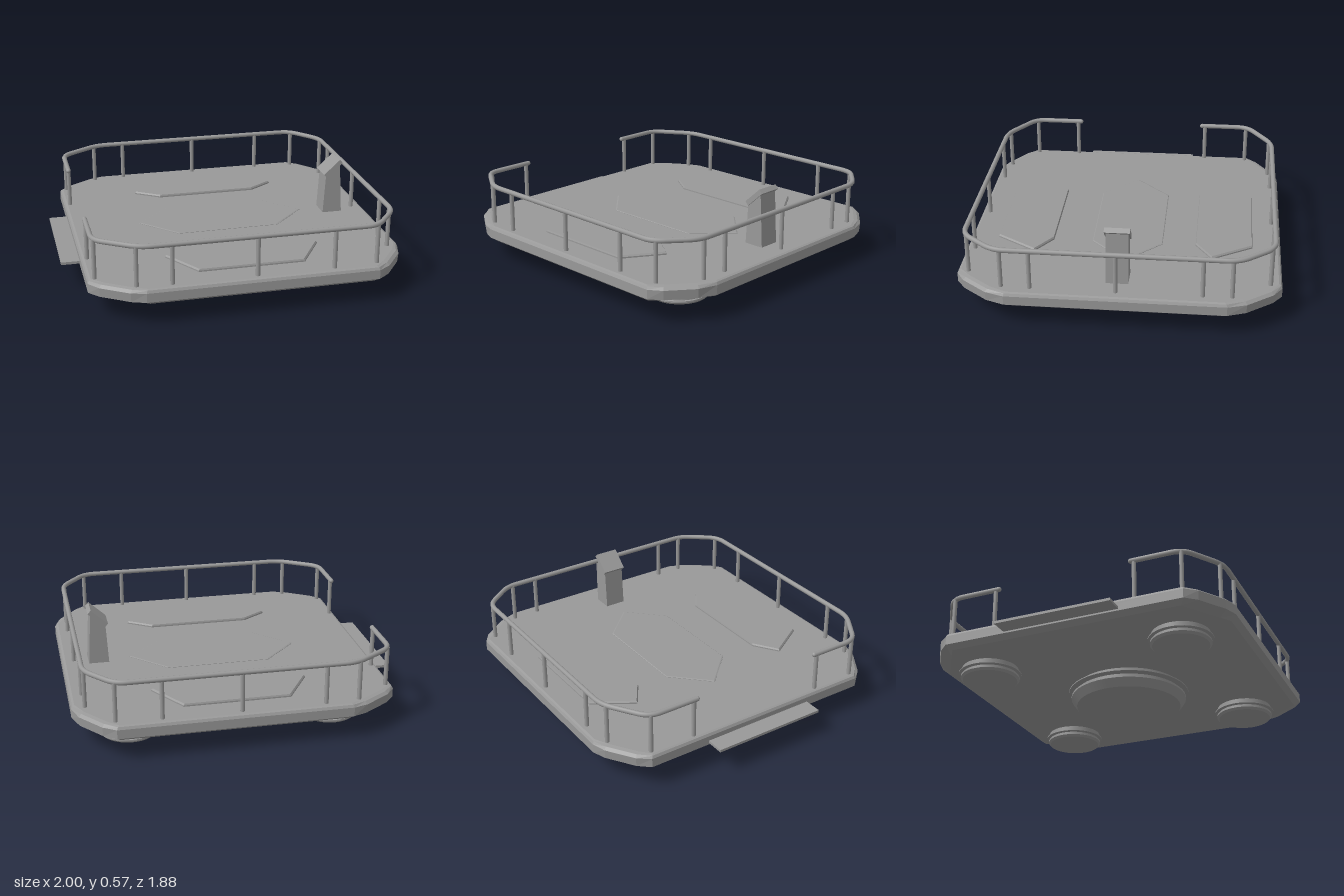
import * as THREE from 'three';

const grey = new THREE.MeshStandardMaterial({ color: 0x999999 });
grey.name = 'grey metal';

function add(parent, name, geometry, x = 0, y = 0, z = 0) {
  const mesh = new THREE.Mesh(geometry, grey);
  mesh.name = name;
  mesh.position.set(x, y, z);
  parent.add(mesh);
  return mesh;
}

// Flat-faced solid through convex rings of [x, y, z] points, bottom to top
function loft(rings) {
  const pos = [];
  const tri = (...points) => points.forEach((p) => pos.push(...p));
  const n = rings[0].length;
  for (let r = 0; r < rings.length - 1; r++) {
    const a = rings[r], b = rings[r + 1];
    for (let i = 0; i < n; i++) {
      const j = (i + 1) % n;
      tri(a[i], a[j], b[j]);
      tri(a[i], b[j], b[i]);
    }
  }
  const low = rings[0], top = rings[rings.length - 1];
  for (let i = 1; i < n - 1; i++) {
    tri(low[0], low[i + 1], low[i]);
    tri(top[0], top[i], top[i + 1]);
  }
  const g = new THREE.BufferGeometry();
  g.setAttribute('position', new THREE.Float32BufferAttribute(pos, 3));
  g.computeVertexNormals();
  return g;
}

// Front half of the platform outline; the back half is its mirror
const halfOutline = [
  [-0.89, 0.74], [-0.835, 0.81], [-0.675, 0.915], [-0.59, 0.94],
  [0.77, 0.94], [0.845, 0.89], [0.96, 0.74], [0.995, 0.63],
];
const mirrored = (half) => [...half, ...half.map(([x, z]) => [x, -z]).reverse()];

function hullRing(y, inset, cornerInset) {
  const half = halfOutline.map(([x, z], i) => {
    const s = 1 - (inset + ([1, 2, 5, 6].includes(i) ? cornerInset : 0)) / 0.94;
    return [0.053 + (x - 0.053) * s, z * s];
  });
  return mirrored(half).map(([x, z]) => [x, y, z]);
}

// Raised deck panel with a narrow bevel
function panel(points, height) {
  const cx = 0.055;
  const cz = points.reduce((sum, p) => sum + p[1], 0) / points.length;
  const ring = (y, s) => points.map(([x, z]) => [cx + (x - cx) * s, y, cz + (z - cz) * s]);
  return loft([ring(0.21, 1), ring(0.219 + height * 0.5, 1), ring(0.219 + height, 0.98)]);
}

// Polyline with its corners rounded
function roundedPath(points, radius) {
  const path = new THREE.CurvePath();
  let last = points[0];
  for (let i = 1; i < points.length - 1; i++) {
    const p = points[i];
    const toward = (q) => p.clone().add(q.clone().sub(p).setLength(radius));
    const a = toward(points[i - 1]), b = toward(points[i + 1]);
    path.add(new THREE.LineCurve3(last, a));
    path.add(new THREE.QuadraticBezierCurve3(a, p, b));
    last = b;
  }
  path.add(new THREE.LineCurve3(last, points[points.length - 1]));
  return path;
}

// Turned pad under the hull; flat facets between profile rings keep its edges crisp
function pad(parent, name, profile, x, z) {
  const group = new THREE.Group();
  group.name = name;
  group.position.set(x, 0, z);
  parent.add(group);
  for (let i = 0; i < profile.length - 1; i++) {
    const pair = [profile[i], profile[i + 1]].map(([r, y]) => new THREE.Vector2(r, y));
    add(group, `${name}Ring`, new THREE.LatheGeometry(pair, 40));
  }
}

export function createModel() {
  const model = new THREE.Group();
  model.name = 'hoverPlatform';

  // Platform body with bevelled edges and cut corners
  add(model, 'hull', loft([
    hullRing(0.12, 0.035, 0.02), hullRing(0.145, 0, 0.004),
    hullRing(0.2, 0, 0), hullRing(0.215, 0.008, 0.006), hullRing(0.22, 0.02, 0.012),
  ]));

  // Boarding step on the open side
  add(model, 'boardingStep', new THREE.BoxGeometry(0.16, 0.016, 0.715), -0.92, 0.163, 0);

  // Deck panels
  add(model, 'centrePanel', panel([
    [-0.47, -0.015], [-0.26, 0.2], [0.37, 0.195], [0.58, -0.015], [0.37, -0.23], [-0.26, -0.23],
  ], 0.006));
  const sidePanel = [[-0.41, 0.53], [-0.26, 0.77], [0.37, 0.77], [0.52, 0.53], [0.37, 0.43], [-0.26, 0.43]];
  add(model, 'frontPanel', panel(sidePanel, 0.018));
  add(model, 'backPanel', panel(sidePanel.map(([x, z]) => [x, -z]).reverse(), 0.018));

  // Hand rail, open on one side
  const railHalf = [[-0.857, 0.42], [-0.857, 0.73], [-0.61, 0.89], [0.764, 0.89], [0.925, 0.69]];
  const railPoints = mirrored(railHalf).map(([x, z]) => new THREE.Vector3(x, 0.46, z));
  add(model, 'handRail', new THREE.TubeGeometry(roundedPath(railPoints, 0.07), 320, 0.015, 10));

  // Rail ends and posts
  const postGeometry = new THREE.CylinderGeometry(0.013, 0.013, 0.25, 10);
  const endGeometry = new THREE.SphereGeometry(0.015, 10, 8);
  const posts = [
    [-0.855, 0.44], [-0.848, 0.72], [-0.635, 0.873], [-0.435, 0.888],
    [0.055, 0.888], [0.51, 0.888], [0.77, 0.872], [0.918, 0.655], [0.922, 0.49],
  ];
  for (const side of [1, -1]) {
    add(model, 'railEnd', endGeometry, -0.857, 0.46, 0.42 * side);
    for (const [x, z] of posts) add(model, 'railPost', postGeometry, x, 0.335, z * side);
  }
  add(model, 'railPost', postGeometry, 0.924, 0.335, 0);

  // Control console: tapered stand and tilted screen
  const stand = new THREE.Shape([[0.71, 0.21], [0.835, 0.21], [0.815, 0.535], [0.725, 0.47]]
    .map(([x, y]) => new THREE.Vector2(x, y)));
  add(model, 'consoleStand', new THREE.ExtrudeGeometry(stand, { depth: 0.13, bevelEnabled: false }), 0, 0, -0.065);
  const screen = add(model, 'consoleScreen', new THREE.BoxGeometry(0.138, 0.03, 0.146), 0.77, 0.513, 0);
  screen.rotation.z = 0.74;

  // Lift pads: one large in the middle, four small near the corners
  pad(model, 'mainLiftPad', [
    [0, 0], [0.325, 0], [0.36, 0.048], [0.36, 0.06], [0.34, 0.065], [0.34, 0.078],
    [0.377, 0.084], [0.377, 0.09], [0.335, 0.1], [0.335, 0.13],
  ], 0.083, 0.012);
  for (const x of [-0.52, 0.67]) {
    for (const z of [0.588, -0.645]) {
      pad(model, 'smallLiftPad', [
        [0, 0.047], [0.165, 0.047], [0.178, 0.06], [0.178, 0.07], [0.17, 0.073], [0.17, 0.08],
        [0.19, 0.084], [0.19, 0.09], [0.172, 0.096], [0.172, 0.13],
      ], x, z);
    }
  }

  return model;
}
